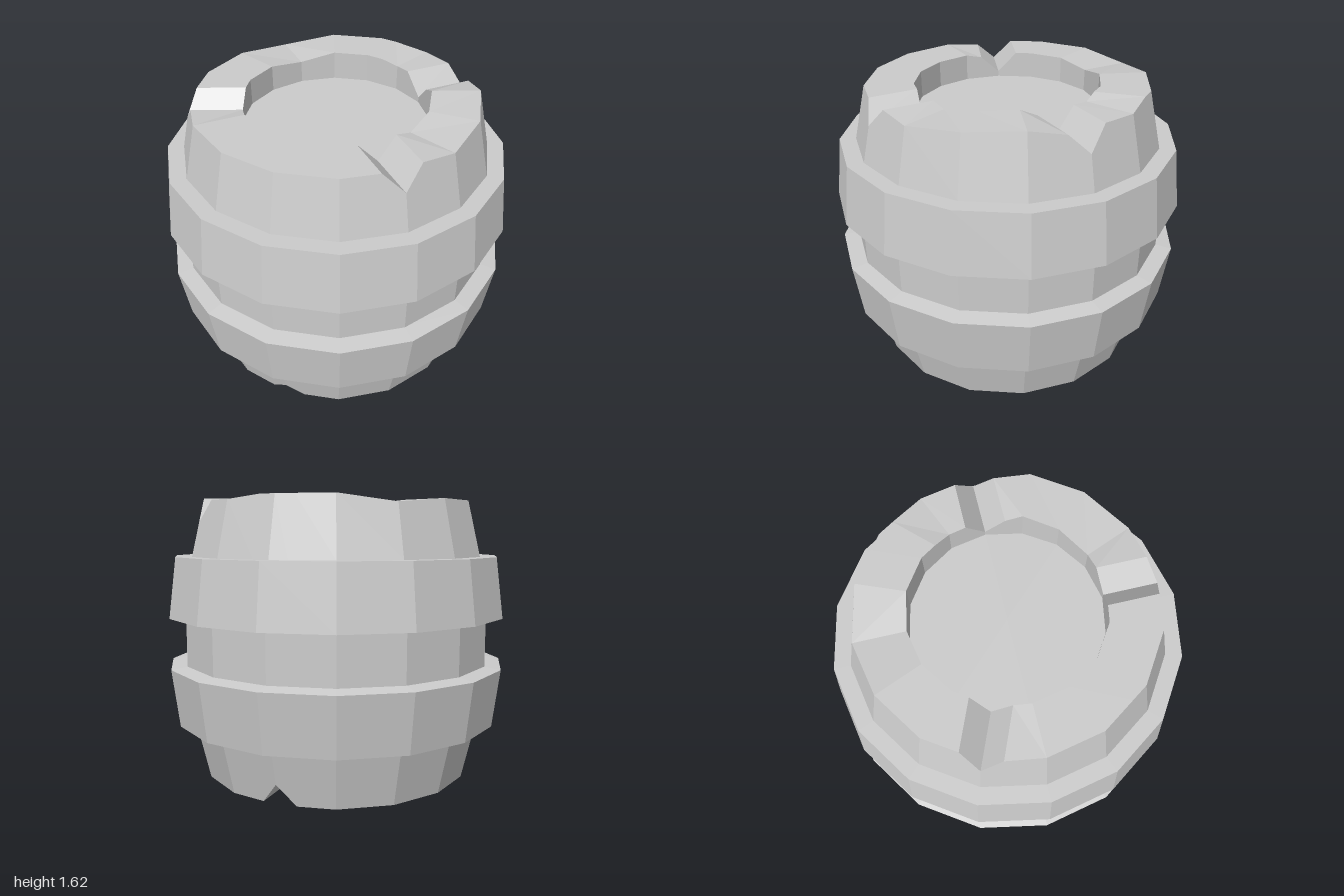
import * as THREE from 'three';

const SIDES = 16;
const IN = 0.52; // radius of the recesses in both ends

// Point on a 16-sided ring: corner k, moved a distance s along the edge
function ringPoint(r, k, s, y) {
  const corner = (i) => {
    const a = (i / SIDES) * Math.PI * 2;
    return new THREE.Vector3(Math.cos(a) * r, y, Math.sin(a) * r);
  };
  const a = corner(k);
  if (s === 0) return a;
  const b = corner(k + Math.sign(s));
  return a.lerp(b, Math.abs(s) / a.distanceTo(b));
}

// Staves and ends: one cross-section per column, with V-shaped chips in the rims
function bodyGeometry() {
  const rim = [1.59, 1.615, 1.6, 1.575, 1.59, 1.59, 1.59, 1.59, 1.59, 1.59, 1.59, 1.59, 1.565, 1.605, 1.605, 1.585];
  // chip at corner: depth height, and heights of its two lips
  const topChips = { 0: [1.47, 1.59, 1.575], 4: [1.48, 1.595, 1.59], 9: [1.47, 1.57, 1.59] };
  const bottomChips = { 6: 0.09, 14: 0.12 };
  const width = 0.11;

  const section = (k, s, top, bottom) => {
    const rTop = 0.865 - (top - 1.28) * 0.235;
    const rBottom = 0.79 + bottom * 0.235;
    const profile = [
      [0, 0.14], [IN, 0.14], [IN, bottom], [rBottom, bottom], [0.865, 0.32], [0.908, 0.65],
      [0.908, 0.94], [0.865, 1.28], [rTop, top], [IN, top], [IN, 1.44], [0, 1.44],
    ];
    return profile.map(([r, y]) => (r ? ringPoint(r, k, s, y) : new THREE.Vector3(0, y, 0)));
  };

  const columns = [];
  for (let k = 0; k < SIDES; k++) {
    const chip = topChips[k];
    const low = bottomChips[k];
    if (chip) {
      columns.push(section(k, -width, chip[1], 0), section(k, 0, chip[0], 0), section(k, width, chip[2], 0));
    } else if (low) {
      columns.push(section(k, -0.1, rim[k], 0), section(k, 0, rim[k], low), section(k, 0.1, rim[k], 0));
    } else {
      columns.push(section(k, 0, rim[k], 0));
    }
  }

  const points = [];
  columns.forEach((a, i) => {
    const b = columns[(i + 1) % columns.length];
    const last = a.length - 2;
    for (let j = 0; j <= last; j++) {
      if (j < last) points.push(a[j], a[j + 1], b[j + 1]);
      if (j === last) points.push(a[j], a[j + 1], b[j]);
      else if (j > 0) points.push(a[j], b[j + 1], b[j]);
    }
  });
  const geometry = new THREE.BufferGeometry().setFromPoints(points);
  geometry.computeVertexNormals();
  return geometry;
}

// Hoop with a sloping outer face
function hoopGeometry(profile) {
  const points = profile.map(([r, y]) => new THREE.Vector2(r, y));
  return new THREE.LatheGeometry(points, SIDES);
}

export function createModel() {
  const group = new THREE.Group();
  group.name = 'barrel';
  const material = new THREE.MeshStandardMaterial({ color: 0xcccccc, flatShading: true });
  const add = (name, geometry) => {
    const mesh = new THREE.Mesh(geometry, material);
    mesh.name = name;
    group.add(mesh);
  };

  add('barrelBody', bodyGeometry());
  add('lowerHoop', hoopGeometry([[0.85, 0.32], [0.957, 0.32], [1, 0.65], [0.9, 0.665]]));
  add('upperHoop', hoopGeometry([[0.9, 0.935], [1, 0.94], [0.957, 1.28], [0.85, 1.28]]));
  return group;
}
